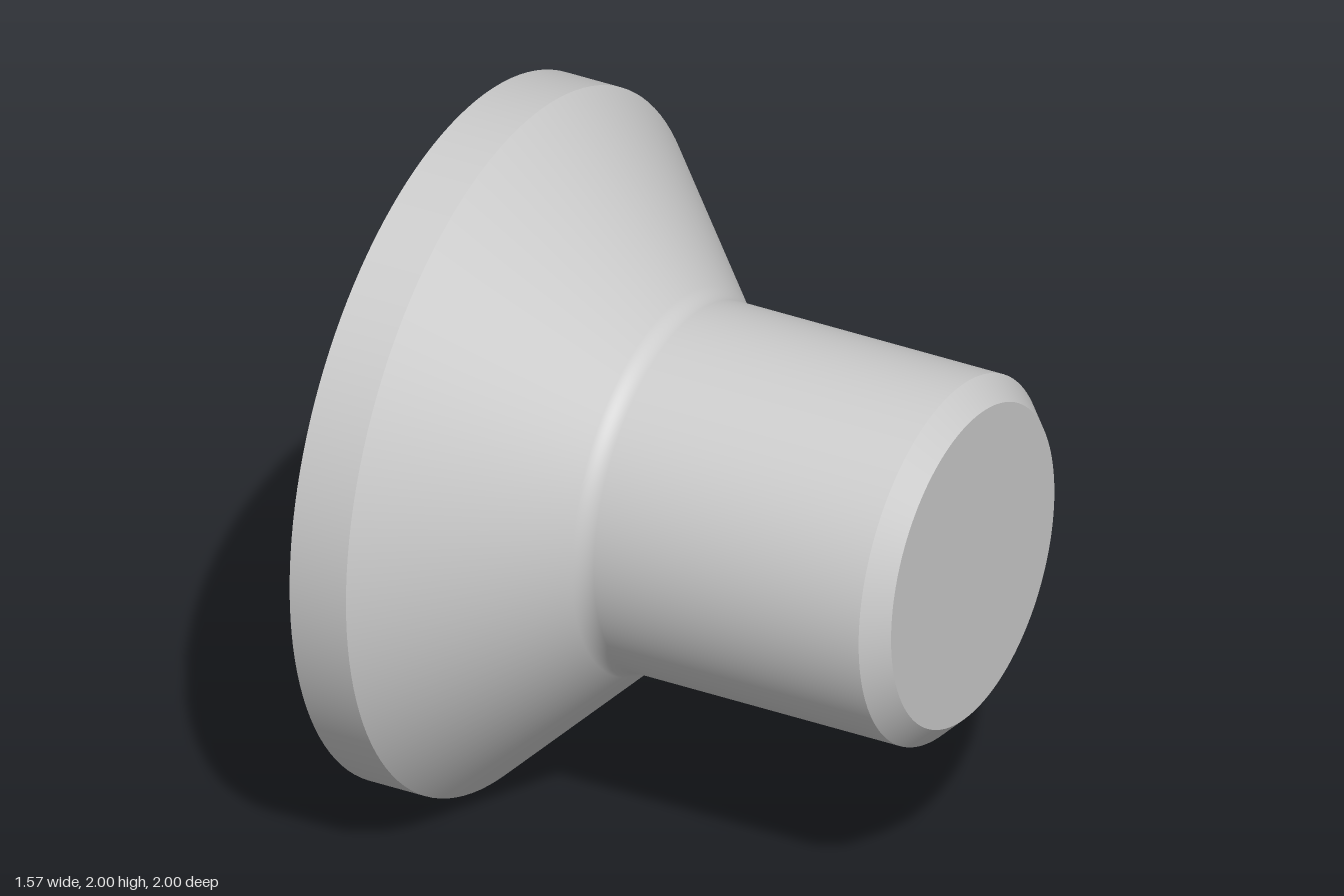
import * as THREE from 'three';

const SEG = 128;
const X0 = -0.785, X1 = 0.785;       // head face and shank tip
const RIM_X = -0.61, HEAD_R = 1;
const SHANK_R = 0.525, TIP_R = 0.46, CHAMFER_X = 0.72;
const HEX_R = 0.38, HEX_DEPTH = 0.39;

export function createModel() {
  const group = new THREE.Group();
  const grey = new THREE.MeshStandardMaterial({ color: 0xcccccc });
  const socketGrey = new THREE.MeshStandardMaterial({ color: 0xcccccc, flatShading: true, side: THREE.DoubleSide });

  const add = (name, geometry, material = grey) => {
    const mesh = new THREE.Mesh(geometry, material);
    mesh.name = name;
    mesh.position.y = HEAD_R;
    group.add(mesh);
  };
  // Turns an [x, radius] profile about the x axis
  const turned = (name, profile) => add(name, new THREE.LatheGeometry(
    profile.map(([x, r]) => new THREE.Vector2(r, x)), SEG).rotateZ(-Math.PI / 2));

  // Cylindrical rim of the head
  turned('headRim', [[X0, HEAD_R], [RIM_X, HEAD_R]]);

  // 45 degree countersink, blended into the shank with a small fillet
  const fillet = 0.08;
  const cornerX = RIM_X + HEAD_R - SHANK_R;
  const endX = cornerX + fillet * Math.tan(Math.PI / 8);
  const profile = [[RIM_X, HEAD_R]];
  for (let i = 0; i <= 8; i++) {
    const a = (Math.PI / 4) * (1 - i / 8);
    profile.push([endX - fillet * Math.sin(a), SHANK_R + fillet * (1 - Math.cos(a))]);
  }
  profile.push([CHAMFER_X, SHANK_R]);
  turned('countersinkAndShank', profile);

  // Chamfered tip and its flat end
  turned('tipChamfer', [[CHAMFER_X, SHANK_R], [X1, TIP_R]]);
  add('tipFace', new THREE.CircleGeometry(TIP_R, SEG).rotateY(Math.PI / 2).translate(X1, 0, 0));

  // Flat head face with a hexagonal opening
  const face = new THREE.Shape().absarc(0, 0, HEAD_R, 0, Math.PI * 2);
  const hex = [];
  for (let i = 0; i < 6; i++) {
    const a = Math.PI / 2 - i * Math.PI / 3;
    hex.push(new THREE.Vector2(HEX_R * Math.cos(a), HEX_R * Math.sin(a)));
  }
  face.holes.push(new THREE.Path(hex));
  add('headFace', new THREE.ShapeGeometry(face, SEG).rotateY(-Math.PI / 2).translate(X0, 0, 0));

  // Hex socket walls and floor
  add('socketWalls', new THREE.CylinderGeometry(HEX_R, HEX_R, HEX_DEPTH, 6, 1, true, Math.PI / 2)
    .rotateZ(-Math.PI / 2).translate(X0 + HEX_DEPTH / 2, 0, 0), socketGrey);
  add('socketFloor', new THREE.CircleGeometry(HEX_R, 6, Math.PI / 2)
    .rotateY(-Math.PI / 2).translate(X0 + HEX_DEPTH, 0, 0));

  return group;
}
